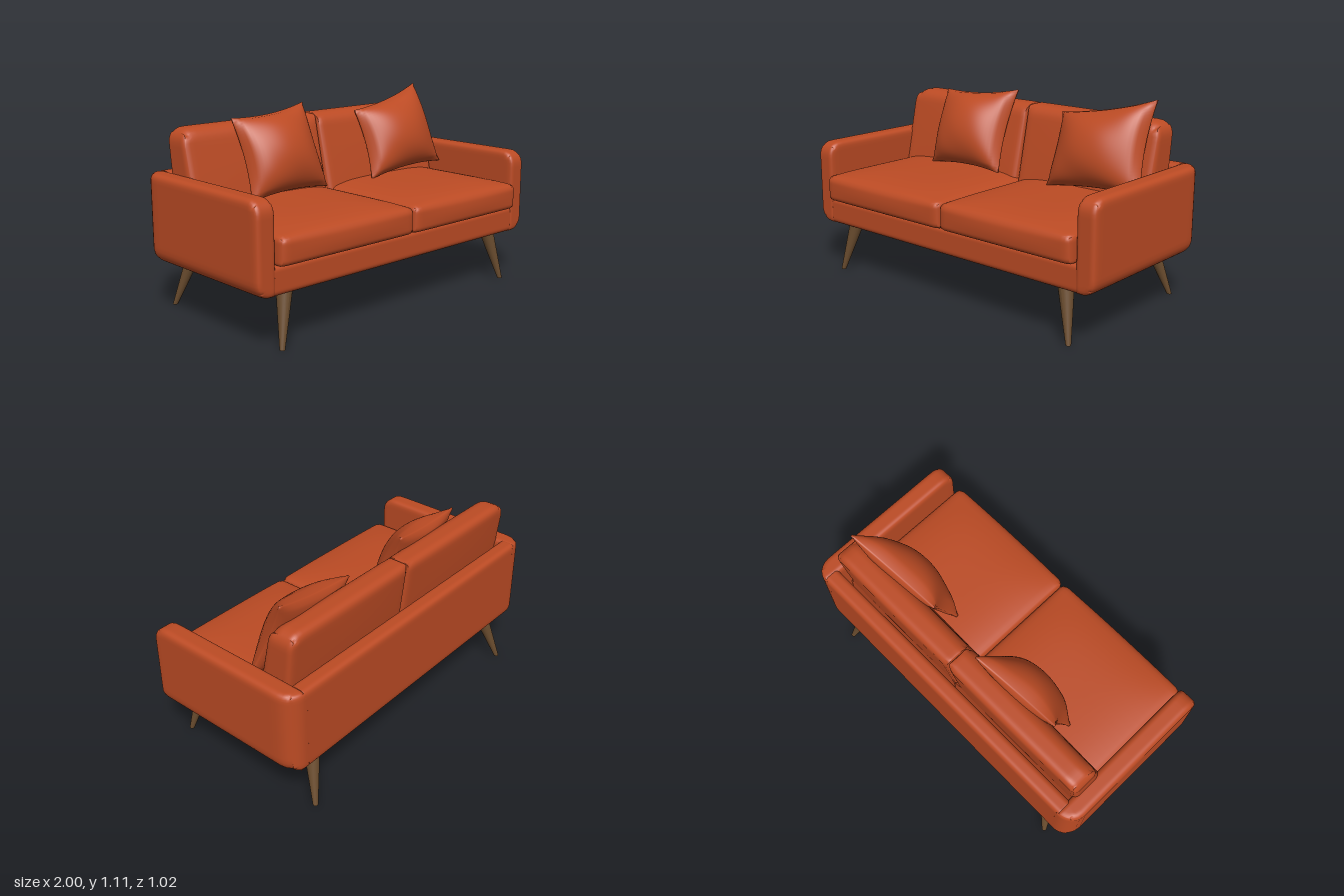
import * as THREE from 'three';
import { mergeVertices } from 'three/addons/utils/BufferGeometryUtils.js';

const fabric = new THREE.MeshStandardMaterial({ color: 0xbc4b24 });
fabric.name = 'rust fabric';
const wood = new THREE.MeshStandardMaterial({ color: 0x6a4c2e });
wood.name = 'walnut wood';

// Weld the vertices and give the surface smooth normals
function smooth(geo) {
  geo.deleteAttribute('uv');
  geo.deleteAttribute('normal');
  const out = mergeVertices(geo, 1e-5);
  out.computeVertexNormals();
  return out;
}

function part(name, geo, material) {
  const mesh = new THREE.Mesh(geo, material);
  mesh.name = name;
  return mesh;
}

// Move every vertex by a rule
function deform(geo, rule) {
  const pos = geo.attributes.position;
  const p = new THREE.Vector3();
  for (let i = 0; i < pos.count; i++) {
    p.fromBufferAttribute(pos, i);
    rule(p);
    pos.setXYZ(i, p.x, p.y, p.z);
  }
  return geo;
}

// Upholstered block from min to max. Each round is an edge such as '+x-y' with its own radius.
function block(min, max, rounds, rule) {
  const lo = new THREE.Vector3(...min), hi = new THREE.Vector3(...max);
  const mid = lo.clone().add(hi).multiplyScalar(0.5);
  const half = hi.clone().sub(lo).multiplyScalar(0.5);
  const geo = deform(new THREE.BoxGeometry(2, 2, 2, 24, 24, 24), (p) => {
    for (const k of ['x', 'y', 'z']) p[k] = half[k] * Math.sin(p[k] * Math.PI / 2);
    for (const [edge, r] of rounds) {
      const [sa, a, sb, b] = edge;
      const da = sa === '+' ? 1 : -1, db = sb === '+' ? 1 : -1;
      const u = p[a] * da - half[a] + r, v = p[b] * db - half[b] + r;
      if (u <= 0 || v <= 0) continue;
      const k = Math.max(u, v) / Math.hypot(u, v);
      p[a] = da * (half[a] - r + u * k);
      p[b] = db * (half[b] - r + v * k);
    }
    const u = p.x / half.x, v = p.y / half.y, w = p.z / half.z;
    p.add(mid);
    if (rule) rule(p, u, v, w);
  });
  return smooth(geo);
}

// Scatter cushion: four corners (bottom left, bottom right, top right, top left) with a swollen middle
function pillow(corners, seed) {
  const [bl, br, tr, tl] = corners.map((c) => new THREE.Vector3(...c));
  const normal = br.clone().sub(bl).cross(tl.clone().sub(bl)).normalize();
  const low = new THREE.Vector3(), high = new THREE.Vector3();
  const geo = deform(new THREE.BoxGeometry(2, 2, 2, 28, 28, 2), (p) => {
    const u = p.x, v = p.y, w = p.z;
    const a = (u * (1 - 0.09 * (1 - v * v)) + 1) / 2;
    const b = (v * (1 - 0.09 * (1 - u * u)) + 1) / 2;
    const swell = Math.pow(Math.max(0, (1 - u * u) * (1 - v * v)), 0.55);
    const fold = 1 + 0.07 * Math.sin(5 * u + 3 * v + seed) * (u * u + v * v);
    low.lerpVectors(bl, br, a);
    high.lerpVectors(tl, tr, a);
    p.lerpVectors(low, high, b);
    p.addScaledVector(normal, w * (0.006 + swell * fold * (w > 0 ? 0.135 : 0.06)));
  });
  return smooth(geo);
}

// Tapered leg, sheared so that its foot stays flat on the floor
function leg(x, zFoot, zTop, xTop) {
  const h = 0.3;
  const geo = new THREE.CylinderGeometry(0.044, 0.014, h, 20);
  deform(geo, (p) => {
    const t = p.y / h + 0.5;
    p.x += THREE.MathUtils.lerp(x, xTop, t);
    p.z += THREE.MathUtils.lerp(zFoot, zTop, t);
    p.y += h / 2;
  });
  geo.computeVertexNormals();
  return geo;
}

export function createModel() {
  const sofa = new THREE.Group();
  sofa.name = 'sofa';

  // Frame: base, back panel and two arms
  sofa.add(part('base', block([-0.92, 0.28, -0.48], [0.92, 0.43, 0.455],
    [['+y+z', 0.025], ['-y+z', 0.03]]), fabric));
  sofa.add(part('backPanel', block([-0.9, 0.28, -0.5], [0.9, 0.76, -0.405],
    [['+y-z', 0.03], ['+y+z', 0.03], ['-y-z', 0.04]]), fabric));
  for (const s of [1, -1]) {
    const out = s > 0 ? '+x' : '-x', inn = s > 0 ? '-x' : '+x';
    const xs = [s * 0.885, s * 1].sort((a, b) => a - b);
    sofa.add(part(s > 0 ? 'leftArm' : 'rightArm',
      block([xs[0], 0.28, -0.5], [xs[1], 0.76, 0.46], [
        [out + '+y', 0.035], [inn + '+y', 0.03],
        [out + '+z', 0.03], [inn + '+z', 0.025],
        ['-y-z', 0.04], ['+y-z', 0.03], ['-y+z', 0.03],
        [out + '-y', 0.08], ['+y+z', 0.08], [out + '-z', 0.1],
      ]), fabric));
  }

  // Seat cushions with crowned tops
  const seatRounds = [['+y+z', 0.035], ['-y+z', 0.03], ['+x+y', 0.03], ['-x+y', 0.03],
    ['+x+z', 0.04], ['-x+z', 0.04], ['+x-y', 0.02], ['-x-y', 0.02]];
  for (const [name, x0, x1] of [['rightSeat', -0.885, 0.02], ['leftSeat', 0.022, 0.885]]) {
    sofa.add(part(name + 'Cushion', block([x0, 0.43, -0.36], [x1, 0.575, 0.5], seatRounds,
      (p, u, v, w) => {
        if (v > 0) p.y += 0.035 * v * (1 - u ** 4) * (1 - Math.max(0, w) ** 4);
        if (w > 0) p.z += 0.01 * w * (1 - u * u) * (1 - v * v);
      }), fabric));
  }

  // Back cushions, thicker at the bottom and leaning backwards
  for (const [name, x0, x1, outer] of [['right', -0.91, -0.002, '-x'], ['left', 0.002, 0.88, '+x']]) {
    const inner = outer === '-x' ? '+x' : '-x';
    sofa.add(part(name + 'BackCushion', block([x0, 0.5, -0.41], [x1, 1, -0.255], [
      ['+y+z', 0.06], ['+y-z', 0.045], ['+x+z', 0.03], ['-x+z', 0.03],
      ['+x-z', 0.03], ['-x-z', 0.03], [inner + '+y', 0.012], [outer + '+y', 0.08],
    ], (p, u, v, w) => {
      const drop = 1 - p.y;
      p.z += drop * (w > 0 ? 0.12 + 0.11 * w : 0.12) + 0.008 * w * (1 - u * u) * (1 - v * v);
    }), fabric));
  }

  // Scatter cushions
  sofa.add(part('rightPillow', pillow([
    [-0.6, 0.605, -0.09], [-0.075, 0.615, -0.09], [-0.09, 1.07, -0.285], [-0.61, 1.03, -0.245],
  ], 0), fabric));
  sofa.add(part('leftPillow', pillow([
    [0.28, 0.605, -0.09], [0.875, 0.64, -0.1], [0.835, 1.11, -0.295], [0.275, 0.995, -0.235],
  ], 2), fabric));

  // Splayed legs
  for (const s of [1, -1]) {
    const side = s > 0 ? 'left' : 'right';
    sofa.add(part(side + 'FrontLeg', leg(s * 0.84, 0.435, 0.372, s * 0.77), wood));
    sofa.add(part(side + 'BackLeg', leg(s * 0.84, -0.492, -0.4, s * 0.76), wood));
  }
  return sofa;
}
